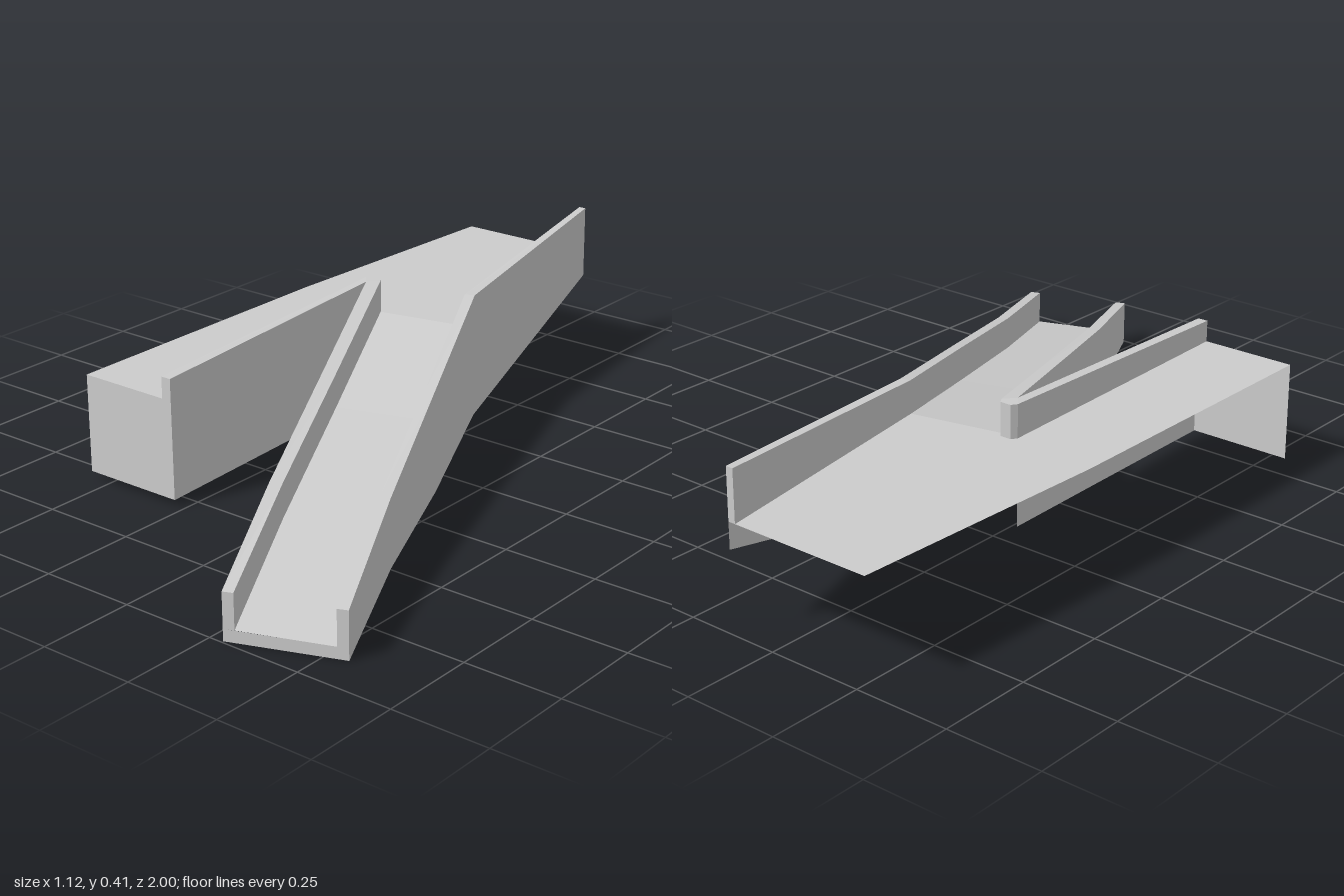
import * as THREE from 'three';

const DECK = 0.278; // height of the level roadway

const material = new THREE.MeshStandardMaterial({
  color: 0xcccccc, flatShading: true, side: THREE.DoubleSide,
});

function addMesh(group, name, geometry) {
  const mesh = new THREE.Mesh(geometry, material);
  mesh.name = name;
  group.add(mesh);
}

// Ruled surfaces: each pair of polylines [a, b] is joined by quads.
function strips(...pairs) {
  const pos = [];
  for (const [a, b] of pairs) {
    for (let i = 0; i + 1 < a.length; i++) {
      pos.push(...a[i], ...b[i], ...b[i + 1], ...a[i], ...b[i + 1], ...a[i + 1]);
    }
  }
  const geometry = new THREE.BufferGeometry();
  geometry.setAttribute('position', new THREE.Float32BufferAttribute(pos, 3));
  geometry.computeVertexNormals();
  return geometry;
}

// Lift plan points [x, z] to the given heights.
const lift = (plan, heights) => plan.map(([x, z], i) => [x, heights[i], z]);

// Side wall: outer skin down to the ground, coping on top, inner parapet face.
function wall(outer, inner, top, deck, bottom) {
  const w = {
    foot: lift(outer, bottom), outerTop: lift(outer, top),
    innerTop: lift(inner, top), innerFoot: lift(inner, deck),
    outerDeck: lift(outer, deck),
  };
  const cap = (i) => [[w.outerTop[i], w.innerTop[i]], [w.outerDeck[i], w.innerFoot[i]]];
  w.geometry = strips(
    [w.foot, w.outerTop], [w.outerTop, w.innerTop], [w.innerTop, w.innerFoot],
    cap(0), cap(outer.length - 1),
  );
  return w;
}

export function createModel() {
  const model = new THREE.Group();
  model.name = 'forkedRamp';

  // Long wall on the outside of the ramp, back to front
  const right = wall(
    [[-0.13, -1], [-0.01, -0.31], [0.178, 0.1], [0.37, 0.52], [0.555, 0.895]],
    [[-0.15, -1], [-0.035, -0.3], [0.153, 0.105], [0.345, 0.53], [0.53, 0.905]],
    [0.41, 0.365, 0.28, 0.192, 0.12],
    [DECK, DECK, 0.19, 0.105, 0.03],
    [0.21, 0.03, 0.005, 0.015, 0],
  );
  addMesh(model, 'outerWall', right.geometry);

  // Inner wall: up the ramp, round the blunt nose, then along the road
  const tip = [-0.3, -0.22];
  const fork = wall(
    [[0.285, 0.995], [0.1, 0.63], [-0.1, 0.205], tip, tip, tip, tip, [-0.275, 0.555]],
    [[0.31, 0.985], [0.125, 0.61], [-0.077, 0.175], [-0.275, -0.25],
      [-0.285, -0.265], [-0.315, -0.265], [-0.325, -0.25], [-0.303, 0.555]],
    [0.12, 0.192, 0.278, 0.365, 0.365, 0.365, 0.365, 0.335],
    [0.03, 0.105, 0.19, DECK, DECK, DECK, DECK, DECK],
    [0, 0.015, 0.005, 0.029, 0.029, 0.029, 0.029, 0.018],
  );
  addMesh(model, 'forkWall', fork.geometry);

  // Level roadway
  const plan = [[-0.53, -1], [-0.56, -0.28], [-0.56, 0.555], [-0.275, 0.555],
    tip, [-0.275, -0.25], [-0.035, -0.3], [-0.01, -0.31], [-0.13, -1]];
  const road = new THREE.ShapeGeometry(
    new THREE.Shape(plan.map(([x, z]) => new THREE.Vector2(x, -z))));
  road.rotateX(-Math.PI / 2).translate(0, DECK, 0);
  addMesh(model, 'roadDeck', road);

  // Sloping ramp roadway between the two walls
  const leftEdge = fork.innerFoot.slice(0, 4).reverse();
  addMesh(model, 'rampDeck', strips([right.innerFoot.slice(1), leftEdge]));

  // Closing faces at the front of the road and the foot of the ramp
  addMesh(model, 'roadEnd', strips([
    [[-0.56, DECK, 0.555], [-0.275, DECK, 0.555]],
    [[-0.56, 0.018, 0.555], [-0.275, 0.018, 0.555]],
  ]));
  addMesh(model, 'rampEnd', strips([
    [fork.outerDeck[0], right.outerDeck[4]], [fork.foot[0], right.foot[4]],
  ]));

  return model;
}
